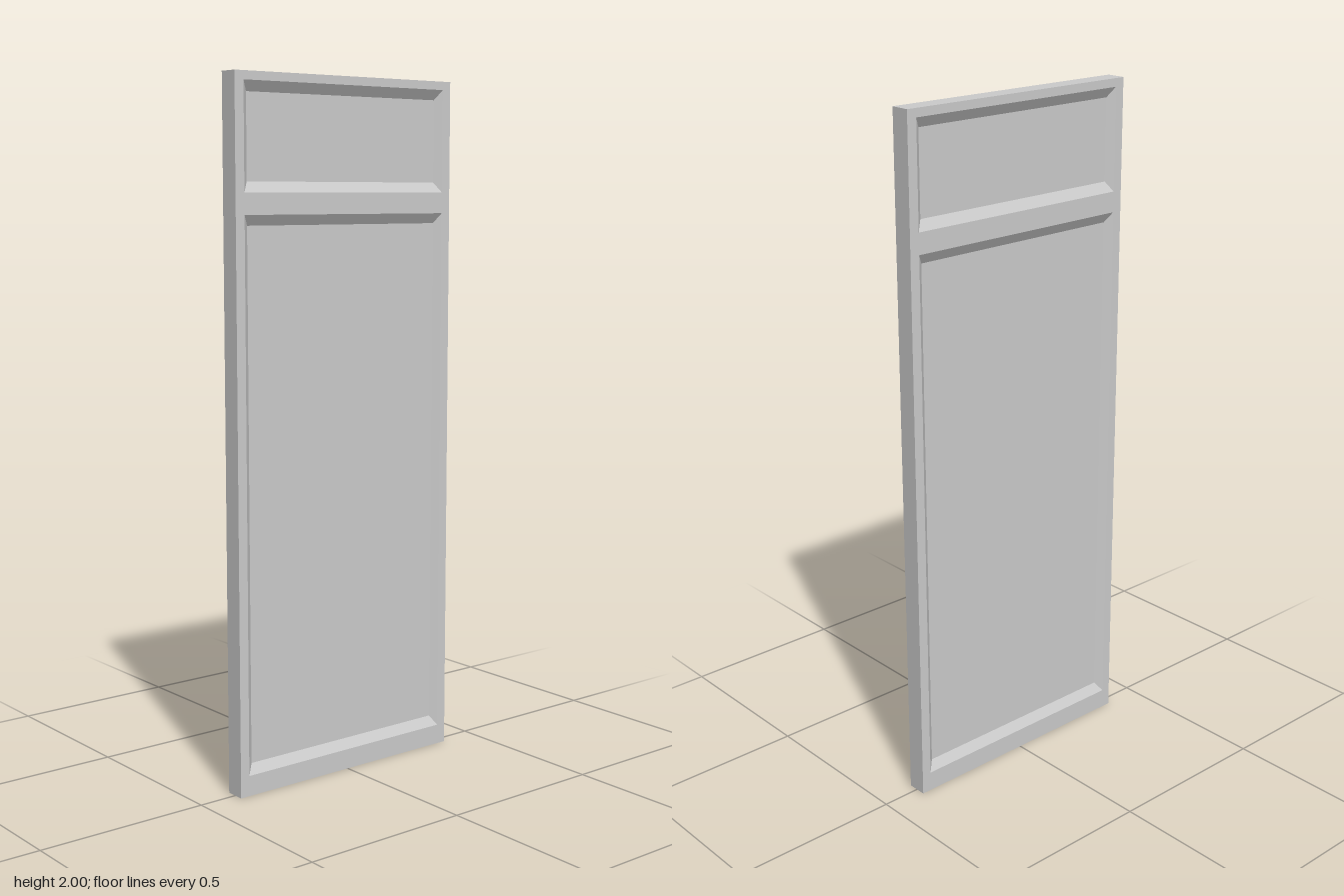
import * as THREE from 'three';

const HALF_W = 0.385, HEIGHT = 2, HALF_T = 0.029; // door slab
const DEPTH = 0.017, INSET_X = 0.02, INSET_Y = 0.029; // sloped moulding
const RECESSES = [
  { name: 'upper', x: 0.356, y0: 1.681, y1: 1.976 },
  { name: 'lower', x: 0.356, y0: 0.059, y1: 1.621 },
];

const material = new THREE.MeshStandardMaterial({ color: 0xcccccc, flatShading: true });

// Rectangle corners, counter-clockwise seen from +z
const corners = (x, y0, y1) => [[-x, y0], [x, y0], [x, y1], [-x, y1]];

// Four flat quads joining rectangle a at depth za to rectangle b at depth zb
function band(a, za, b, zb) {
  const pos = [];
  for (let i = 0; i < 4; i++) {
    const j = (i + 1) % 4;
    const p = [...a[i], za], q = [...a[j], za], r = [...b[j], zb], s = [...b[i], zb];
    pos.push(...p, ...q, ...r, ...p, ...r, ...s);
  }
  const geo = new THREE.BufferGeometry();
  geo.setAttribute('position', new THREE.Float32BufferAttribute(pos, 3));
  geo.computeVertexNormals();
  return geo;
}

const toPath = (pts, Type) => new Type(pts.map(([x, y]) => new THREE.Vector2(x, y)));

function add(group, name, geometry) {
  const mesh = new THREE.Mesh(geometry, material);
  mesh.name = name;
  group.add(mesh);
  return mesh;
}

// One side of the door: flat frame, sloped mouldings and sunken panels
function createFace(name) {
  const face = new THREE.Group();
  face.name = name;
  const outline = toPath(corners(HALF_W, 0, HEIGHT), THREE.Shape);
  for (const r of RECESSES) {
    const outer = corners(r.x, r.y0, r.y1);
    const inner = corners(r.x - INSET_X, r.y0 + INSET_Y, r.y1 - INSET_Y);
    outline.holes.push(toPath(outer, THREE.Path));
    add(face, r.name + 'Moulding', band(outer, HALF_T, inner, HALF_T - DEPTH));
    const panel = new THREE.ShapeGeometry(toPath(inner, THREE.Shape));
    add(face, r.name + 'Panel', panel).position.z = HALF_T - DEPTH;
  }
  add(face, 'frame', new THREE.ShapeGeometry(outline)).position.z = HALF_T;
  return face;
}

export function createModel() {
  const door = new THREE.Group();
  door.name = 'door';

  // Outer rim closing the slab
  const rim = corners(HALF_W, 0, HEIGHT);
  add(door, 'edge', band(rim, -HALF_T, rim, HALF_T));

  // Same panelled face on both sides
  const back = createFace('backFace');
  back.rotation.y = Math.PI;
  door.add(createFace('frontFace'), back);
  return door;
}
